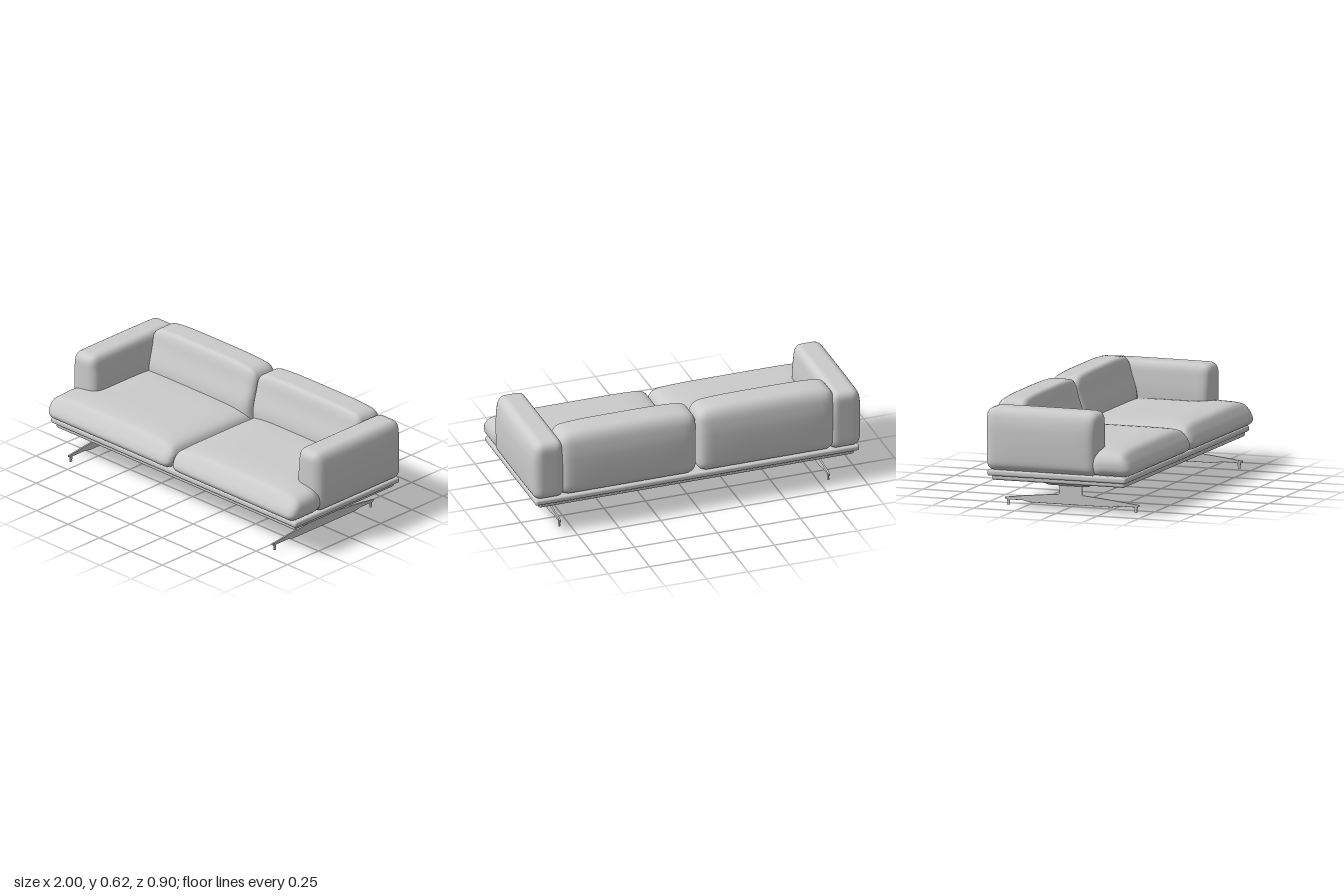
import * as THREE from 'three';
import { mergeVertices } from 'three/addons/utils/BufferGeometryUtils.js';
import { RoundedBoxGeometry } from 'three/addons/geometries/RoundedBoxGeometry.js';

const grey = new THREE.MeshStandardMaterial({ color: 0xcccccc });
grey.name = 'light grey';

const smooth = THREE.MathUtils.smoothstep;

function addMesh(parent, name, geometry, x = 0, y = 0, z = 0) {
  const mesh = new THREE.Mesh(geometry, grey);
  mesh.name = name;
  mesh.position.set(x, y, z);
  parent.add(mesh);
  return mesh;
}

// Soft rounded block between two corners, then shaped by a rule.
// The rule gets the point p and its place in the block, u v w from -1 to 1.
function cushion(min, max, radius, rule) {
  const n = 24;
  const centre = min.map((a, i) => (a + max[i]) / 2);
  const half = min.map((a, i) => (max[i] - a) / 2);
  let geo = new THREE.BoxGeometry(2, 2, 2, n, n, n);
  geo.deleteAttribute('normal');
  geo.deleteAttribute('uv');
  geo = mergeVertices(geo);
  const pos = geo.attributes.position;
  const p = new THREE.Vector3();
  const core = new THREE.Vector3();
  const inner = new THREE.Vector3(...half).subScalar(radius);
  const outer = inner.clone().negate();
  for (let i = 0; i < pos.count; i++) {
    p.fromBufferAttribute(pos, i);
    // crowd the rows towards the edges so the rounding stays fine
    p.set(...p.toArray().map((t, k) => Math.sin(t * Math.PI / 2) * half[k]));
    core.copy(p).clamp(outer, inner);
    p.sub(core).setLength(radius).add(core);
    const [u, v, w] = p.toArray().map((t, k) => t / half[k]);
    p.add(new THREE.Vector3(...centre));
    rule(p, u, v, w);
    pos.setXYZ(i, p.x, p.y, p.z);
  }
  geo.computeVertexNormals();
  return geo;
}

// Mirror a geometry across x = 0, turning the faces round again.
function mirrored(geometry) {
  const geo = geometry.clone().scale(-1, 1, 1);
  const idx = geo.index;
  for (let i = 0; i < idx.count; i += 3) {
    const a = idx.getX(i);
    idx.setX(i, idx.getX(i + 2));
    idx.setX(i + 2, a);
  }
  geo.computeVertexNormals();
  return geo;
}

// Box whose lower face is scaled in x and z.
function taperedBox(w, h, d, sx, sz) {
  const geo = new THREE.BoxGeometry(w, h, d).toNonIndexed();
  const pos = geo.attributes.position;
  for (let i = 0; i < pos.count; i++) {
    if (pos.getY(i) < 0) {
      pos.setX(i, pos.getX(i) * sx);
      pos.setZ(i, pos.getZ(i) * sz);
    }
  }
  geo.computeVertexNormals();
  return geo;
}

function makeLeg() {
  const leg = new THREE.Group();
  // mounting plate and its tapered underside
  addMesh(leg, 'mountPlate', new THREE.BoxGeometry(0.08, 0.014, 0.29), 0, 0.154, 0.005);
  addMesh(leg, 'mountTaper', taperedBox(0.08, 0.017, 0.288, 0.25, 0.82), 0, 0.1385, 0.005);

  // thin blade with a short column and two long arms
  const profile = [
    [0.43, 0.035], [0.43, 0.043], [0.3, 0.058], [0.18, 0.07], [0.09, 0.078], [0.085, 0.085],
    [0.085, 0.135], [-0.05, 0.135], [-0.05, 0.085], [-0.055, 0.078], [-0.14, 0.07],
    [-0.26, 0.058], [-0.38, 0.043], [-0.38, 0.035], [-0.36, 0.031], [-0.27, 0.031],
    [-0.235, 0.022], [0.265, 0.022], [0.3, 0.031], [0.41, 0.031],
  ].map(([z, y]) => new THREE.Vector2(z, y));
  const blade = new THREE.ExtrudeGeometry(new THREE.Shape(profile), {
    depth: 0.006, bevelEnabled: true, bevelThickness: 0.002, bevelSize: 0.001, bevelSegments: 1,
  });
  blade.translate(0, 0, -0.003).rotateY(-Math.PI / 2);
  addMesh(leg, 'blade', blade);

  // small glides at the ends
  for (const [z, tilt] of [[0.411, 1], [-0.361, -1]]) {
    const stem = addMesh(leg, 'glideStem', new THREE.CylinderGeometry(0.011, 0.008, 0.026, 12), 0, 0.024, z);
    stem.scale.x = 0.6;
    stem.rotation.x = tilt * 0.12;
    addMesh(leg, 'glide', new THREE.CylinderGeometry(0.008, 0.009, 0.014, 12), 0, 0.007, z).scale.x = 0.7;
  }
  return leg;
}

export function createModel() {
  const sofa = new THREE.Group();
  sofa.name = 'sofa';

  // two stacked base slabs
  addMesh(sofa, 'lowerBase', new RoundedBoxGeometry(1.9, 0.032, 0.805, 4, 0.013), 0, 0.176, -0.008);
  addMesh(sofa, 'upperBase', new RoundedBoxGeometry(1.95, 0.034, 0.84, 4, 0.012), 0, 0.204, -0.01);

  // seat: crowned on top, drawn in where it passes between the arms
  const seat = cushion([0.002, 0.222, -0.3], [0.985, 0.345, 0.448], 0.055, (p, u, v, w) => {
    const up = smooth(v, -0.6, 1);
    p.y += 0.033 * up * (1 - u ** 6) * (1 - Math.abs(w) ** 5);
    p.z -= 0.03 * smooth(w, 0.7, 1) * up;
    if (u > 0) p.x -= 0.1 * u * smooth(0.23 - p.z, 0, 0.08);
  });

  // back: front leans away towards the top, rear swells at mid height
  const back = cushion([0.002, 0.22, -0.445], [0.83, 0.598, -0.195], 0.06, (p, u, v, w) => {
    const up = smooth(v, 0.3, 1);
    p.y += 0.018 * up * (1 - u ** 4);
    if (w > 0) p.z -= 0.05 * w * smooth(v, -0.2, 0.9);
    else p.z += w * 0.012 * (1 - v * v) * (1 - u ** 4) - w * 0.012 * up;
  });

  // arm: gently swollen outside, leaning in at the top
  const arm = cushion([0.795, 0.218, -0.44], [0.985, 0.578, 0.238], 0.05, (p, u, v, w) => {
    const swell = (1 - v * v) * (1 - w ** 4);
    p.x += u > 0 ? 0.013 * u * swell : 0.014 * -u * smooth(v, 0, 1);
    if (u > 0) p.x -= 0.01 * u * smooth(v, 0.4, 1);
    p.y += 0.003 * smooth(v, 0.7, 1) * (1 - w ** 4);
    if (w > 0) p.z -= 0.012 * u * u * w ** 8;
  });

  for (const [part, geo] of [['SeatCushion', seat], ['BackCushion', back], ['Arm', arm]]) {
    addMesh(sofa, 'left' + part, geo);
    addMesh(sofa, 'right' + part, mirrored(geo));
  }

  // one blade leg under each end
  for (const side of [1, -1]) {
    const leg = makeLeg();
    leg.name = side > 0 ? 'leftLeg' : 'rightLeg';
    leg.position.x = side * 0.81;
    sofa.add(leg);
  }
  return sofa;
}
